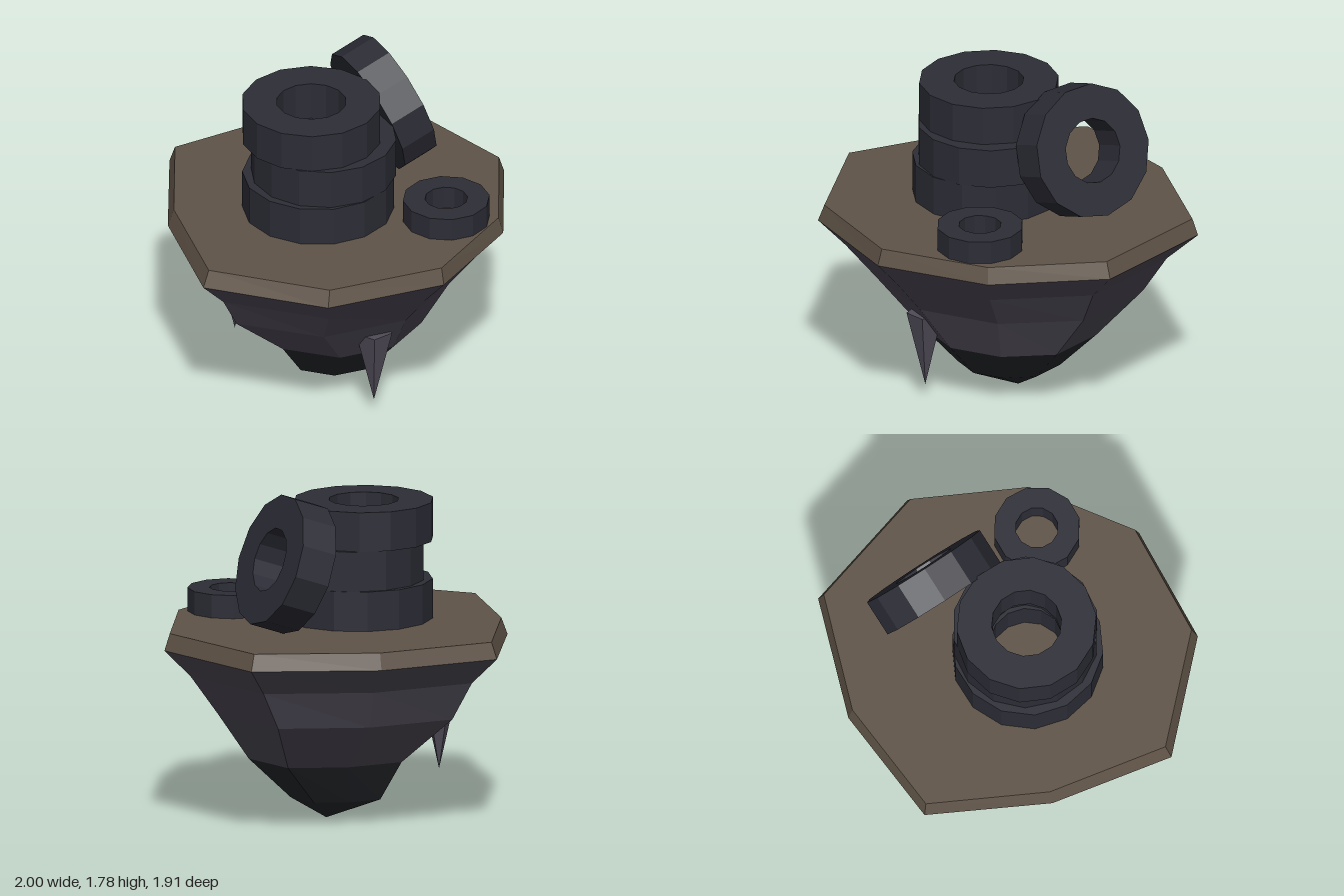
import * as THREE from 'three';

const flat = (name, color) => {
  const m = new THREE.MeshStandardMaterial({ color, flatShading: true });
  m.name = name;
  return m;
};

// Irregular nine-sided outline of the island, as x, z pairs
const OUTLINE = [
  [-0.33, -0.96], [0.34, -0.87], [0.93, -0.52], [1, 0.2], [0.6, 0.71],
  [0.02, 0.95], [-0.61, 0.77], [-1, 0.2], [-0.75, -0.43],
];

// Ring of the outline at height y, scaled and shifted
const ring = (y, sx, sz = sx, ox = 0, oz = 0) =>
  OUTLINE.map(([x, z]) => [x * sx + ox, y, z * sz + oz]);

// Skins rings from top to bottom; a ring of zero scale closes an end
function loft(rings) {
  const pos = [];
  const tri = (a, b, c) => {
    const same = (p, q) => p.every((v, i) => v === q[i]);
    if (!same(a, b) && !same(b, c) && !same(a, c)) pos.push(...a, ...b, ...c);
  };
  for (let r = 0; r < rings.length - 1; r++) {
    const up = rings[r], low = rings[r + 1], n = up.length;
    for (let i = 0; i < n; i++) {
      const j = (i + 1) % n;
      tri(up[i], up[j], low[i]);
      tri(up[j], low[j], low[i]);
    }
  }
  const g = new THREE.BufferGeometry();
  g.setAttribute('position', new THREE.Float32BufferAttribute(pos, 3));
  g.computeVertexNormals();
  return g;
}

// Square-section tyre, centred on the origin with its axis along y
function tyreGeometry(outer, inner, height, sides) {
  const h = height / 2;
  const profile = [[inner, -h], [outer, -h], [outer, h], [inner, h], [inner, -h]];
  return new THREE.LatheGeometry(profile.map(([x, y]) => new THREE.Vector2(x, y)), sides);
}

export function createModel() {
  const group = new THREE.Group();
  const dirt = flat('dirt', 0x5f5347);
  const rock = flat('rock', 0x504c58);
  const darkRock = flat('darkRock', 0x26282c);
  const rubber = flat('rubber', 0x2c2d36);

  const add = (name, geometry, material, x = 0, y = 0, z = 0) => {
    const mesh = new THREE.Mesh(geometry, material);
    mesh.name = name;
    mesh.position.set(x, y, z);
    group.add(mesh);
    return mesh;
  };

  // Floating island: bevelled ground slab, rock body and dark tip
  const rim = ring(0.96, 1);
  const waist = ring(0.34, 0.465, 0.45, 0.055, 0.03);
  add('groundSlab', loft([ring(1.05, 0, 0, 0.01), ring(1.05, 0.965, 0.973, 0.005), rim, ring(0.96, 0)]), dirt);
  add('rockBody', loft([
    rim, ring(0.81, 0.85, 0.84, 0, 0.01), ring(0.6, 0.715, 0.685, 0, -0.02), waist,
  ]), rock);
  add('rockTip', loft([waist, ring(0.12, 0.27, 0.27, 0.03), ring(0, 0, 0, 0.11)]), darkRock);

  // Hanging stone spikes: tip position x, y, z
  for (const [x, y, z] of [[-0.09, 0.09, 0.49], [-0.39, 0.26, -0.32]]) {
    const spike = new THREE.ConeGeometry(0.1, 0.42, 5);
    spike.rotateX(Math.PI);
    add('spike', spike, rock, x, y + 0.21, z);
  }

  // Stack of three tyres: x, z, bottom, top, radius
  const stack = [
    [-0.098, 0.02, 1.05, 1.262, 0.4],
    [-0.07, 0.03, 1.262, 1.475, 0.385],
    [-0.12, -0.01, 1.475, 1.685, 0.37],
  ];
  stack.forEach(([x, z, y0, y1, r], i) => {
    const tyre = add('stackedTyre', tyreGeometry(r, r * 0.5, y1 - y0, 14), rubber, x, (y0 + y1) / 2, z);
    tyre.rotation.y = i * 0.35;
  });

  // Small tyre lying on the ground
  add('smallTyre', tyreGeometry(0.23, 0.113, 0.125, 12), rubber, 0.36, 1.1125, 0.53);

  // Tyre leaning against the stack
  const leaning = add('leaningTyre', tyreGeometry(0.355, 0.172, 0.2, 13), rubber, 0.455, 1.42, -0.135);
  leaning.quaternion.setFromUnitVectors(
    new THREE.Vector3(0, 1, 0), new THREE.Vector3(0.93, 0.33, 0.15).normalize());

  return group;
}
